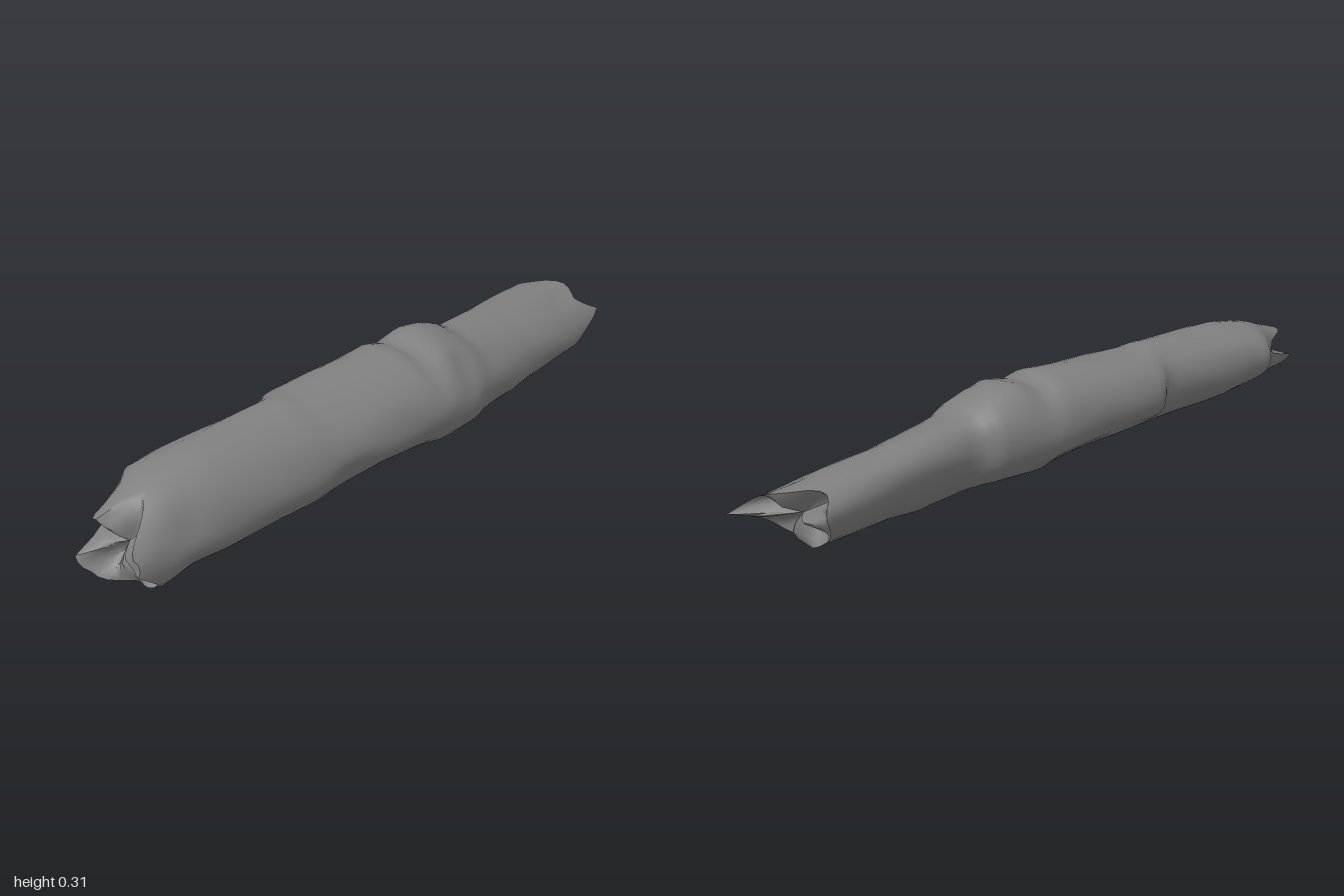
import * as THREE from 'three';
import { toCreasedNormals } from 'three/addons/utils/BufferGeometryUtils.js';

// Outline of the trunk along x: [x, bottom y, top y, back z, front z, tilt of the section]
const OUTLINE = [
  [-1.0, 0.03, 0.19, -0.105, 0.08, 0.3], [-0.93, 0.025, 0.21, -0.11, 0.092, 0.3],
  [-0.87, 0.012, 0.23, -0.125, 0.095, 0.3], [-0.82, 0.016, 0.25, -0.15, 0.10, 0.3],
  [-0.77, 0.018, 0.262, -0.19, 0.10, 0.3], [-0.67, 0.008, 0.278, -0.182, 0.11, 0.28],
  [-0.5, 0.02, 0.283, -0.165, 0.128, 0.24], [-0.34, 0.015, 0.29, -0.148, 0.14, 0.2],
  [-0.3, 0.022, 0.284, -0.18, 0.142, 0.19], [-0.1, 0.022, 0.297, -0.17, 0.16, 0.15],
  [0.06, 0.015, 0.306, -0.166, 0.176, 0.12], [0.11, 0.006, 0.286, -0.165, 0.18, 0.12],
  [0.19, 0.012, 0.312, -0.158, 0.181, 0.14], [0.25, 0.016, 0.303, -0.152, 0.18, 0.17],
  [0.3, 0.02, 0.285, -0.145, 0.168, 0.22], [0.35, 0.018, 0.256, -0.11, 0.157, 0.28],
  [0.5, 0.001, 0.247, -0.12, 0.137, 0.36], [0.6, 0.016, 0.24, -0.13, 0.125, 0.38],
  [0.78, 0.02, 0.231, -0.148, 0.115, 0.38], [0.86, 0.022, 0.226, -0.155, 0.112, 0.38],
  [1.0, 0.04, 0.22, -0.15, 0.105, 0.38],
];

// How far the splintered ends reach, every 15 degrees from front over the top
const RIGHT_END = [-0.95, -0.94, -0.95, -0.94, -0.9, -0.86, -0.84, -0.88, -0.95, -0.95, -0.9, -0.84,
  -0.83, -0.9, -1, -1, -0.98, -0.97, -0.93, -0.88, -0.9, -0.9, -0.89, -0.92];
const LEFT_END = [0.9, 0.95, 0.995, 0.94, 0.92, 0.94, 0.94, 0.92, 0.86, 0.83, 0.84, 0.86,
  0.86, 0.85, 0.84, 0.83, 0.84, 0.84, 0.83, 0.82, 0.8, 0.82, 0.84, 0.86];

// Knots and dents: [x, angle, length, angular width, amount]
const KNOTS = [
  [0.2, -0.7, 0.13, 0.35, 0.1], [0.24, 0.7, 0.05, 0.3, -0.1], [0.33, 1.0, 0.06, 0.3, 0.06],
  [0.12, 0.4, 0.07, 0.4, 0.02], [-0.25, -0.35, 0.08, 0.3, -0.08], [-0.4, -0.8, 0.12, 0.3, 0.04],
  [-0.12, 0.6, 0.12, 0.3, 0.03], [-0.55, 2.3, 0.18, 0.2, -0.04], [0.45, 4.2, 0.1, 0.4, -0.06],
  [-0.75, 4.0, 0.12, 0.4, -0.1], [-0.1, 4.0, 0.4, 0.4, -0.1], [-0.8, 0.5, 0.06, 0.4, -0.08],
  [-0.86, -0.6, 0.05, 0.3, 0.06], [0.88, 1.25, 0.07, 0.2, -0.1],
];

const COLS = 36;
const lerp = THREE.MathUtils.lerp;

function section(x) {
  let i = 0;
  while (i < OUTLINE.length - 2 && OUTLINE[i + 1][0] < x) i++;
  const a = OUTLINE[i], b = OUTLINE[i + 1];
  const t = THREE.MathUtils.clamp((x - a[0]) / (b[0] - a[0]), 0, 1);
  return a.map((v, k) => lerp(v, b[k], t));
}

// Core line of the trunk
const coreAt = (x) => new THREE.Vector3(x, 0.15 - 0.025 * x * x, -0.015);

function endReach(ends, col) {
  const f = col / COLS * ends.length, i = Math.floor(f);
  return lerp(ends[i % ends.length], ends[(i + 1) % ends.length], f - i);
}

// Point on the bark: a tilted oval with its own reach to each side, rippled, with knots
function barkPoint(x, angle) {
  const [, bottom, top, back, front, tilt] = section(x);
  const core = coreAt(x);
  let r = 1 + 0.02 * Math.sin(4 * angle + 7 * x) * Math.sin(13 * x + 2 * angle);
  for (const [kx, ka, len, width, amount] of KNOTS) {
    const da = Math.atan2(Math.sin(angle - ka), Math.cos(angle - ka));
    r += amount * Math.exp(-(((x - kx) / len) ** 2) - (da / width) ** 2);
  }
  const up = Math.sin(angle - tilt), out = Math.cos(angle);
  return new THREE.Vector3(x,
    Math.max(0, core.y + r * up * (up > 0 ? top - core.y : core.y - bottom)),
    core.z + r * out * (out > 0 ? front - core.z : core.z - back));
}

// Point on the ridged break at an end; s runs from centre to rim
function breakPoint(ends, heart, s, col) {
  const angle = col / COLS * Math.PI * 2;
  const rim = barkPoint(endReach(ends, col), angle);
  const core = coreAt(heart);
  const ridge = Math.sin(Math.PI * s) * Math.sin(4 * angle + 0.6);
  const point = core.clone().lerp(rim, s * (1 - 0.1 * ridge));
  point.x = lerp(heart, rim.x, s ** 1.5) + Math.sign(heart) * 0.035 * ridge;
  return point;
}

function createLogGeometry() {
  const rows = [];
  const breakRings = [0, 0.25, 0.5, 0.75, 0.92];
  for (const s of breakRings) rows.push((c) => breakPoint(RIGHT_END, -0.89, s, c));
  const bark = (xAt) => rows.push((c) => barkPoint(xAt(c), c / COLS * Math.PI * 2));
  for (let k = 5; k > 0; k--) bark((c) => lerp(-0.77, endReach(RIGHT_END, c), k / 5));
  for (let k = 0; k <= 56; k++) bark(() => lerp(-0.77, 0.77, k / 56));
  for (let k = 1; k <= 5; k++) bark((c) => lerp(0.77, endReach(LEFT_END, c), k / 5));
  for (const s of breakRings.slice().reverse()) rows.push((c) => breakPoint(LEFT_END, 0.84, s, c));

  const positions = [], index = [];
  rows.forEach((row, i) => {
    for (let c = 0; c < COLS; c++) {
      positions.push(...row(c).toArray());
      if (i === rows.length - 1) continue;
      const a = i * COLS + c, b = i * COLS + (c + 1) % COLS;
      // The first and last rows meet in a point, so they need one triangle per column
      if (i < rows.length - 2) index.push(a, a + COLS, b + COLS);
      else index.push(a, a + COLS, b);
      if (i > 0 && i < rows.length - 2) index.push(a, b + COLS, b);
    }
  });
  const geometry = new THREE.BufferGeometry();
  geometry.setAttribute('position', new THREE.Float32BufferAttribute(positions, 3));
  geometry.setIndex(index);
  return toCreasedNormals(geometry, 0.9);
}

export function createModel() {
  const group = new THREE.Group();
  group.name = 'fallenLog';
  const log = new THREE.Mesh(createLogGeometry(), new THREE.MeshStandardMaterial({ color: 0x808080 }));
  log.name = 'trunk';
  group.add(log);
  return group;
}
